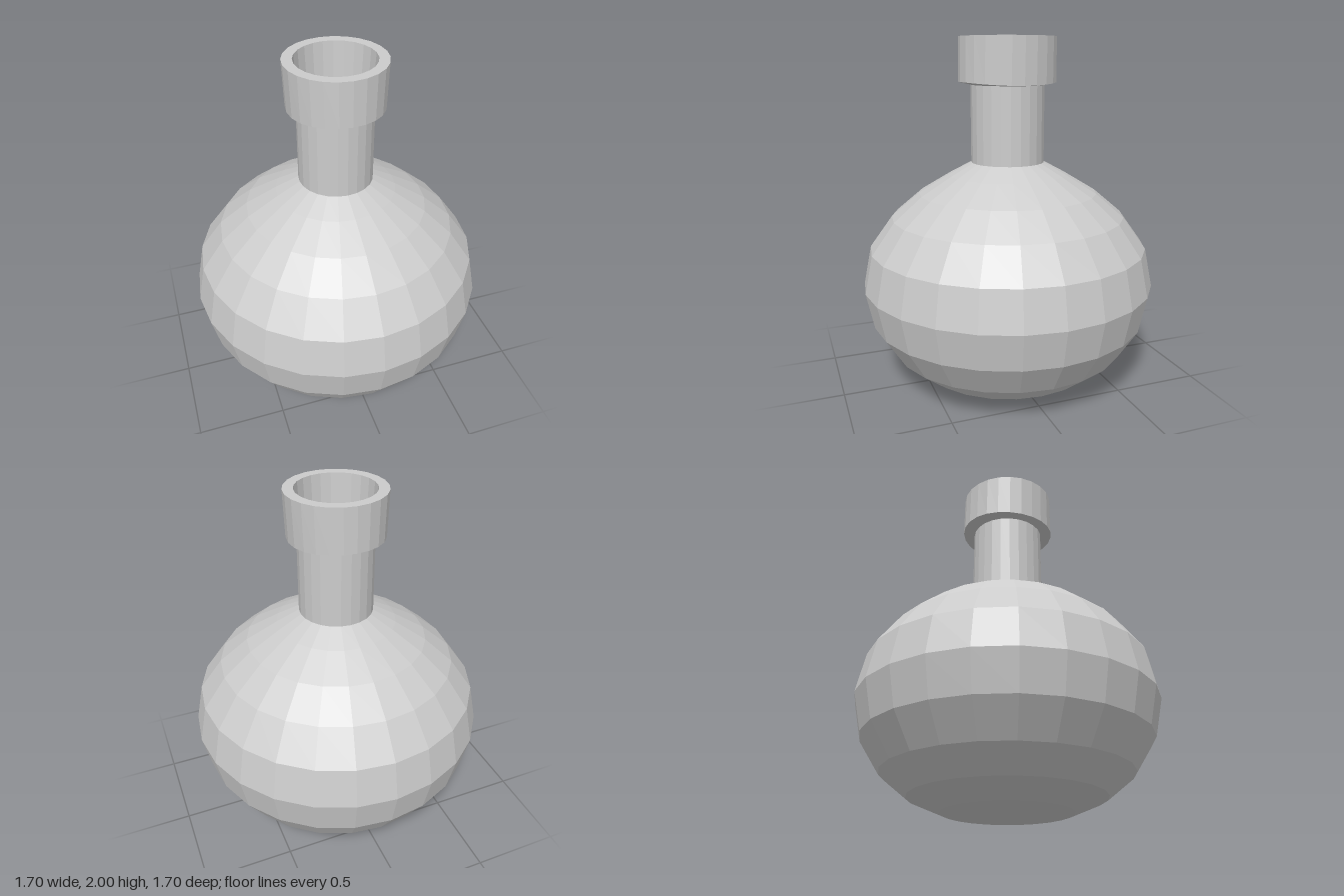
import * as THREE from 'three';

const SIDES = 24;

// Faceted surface of revolution; outer walls listed upward, inner walls downward
function turned(name, profile, color = 0xcccccc) {
  const geometry = new THREE.LatheGeometry(profile.map(([r, y]) => new THREE.Vector2(r, y)), SIDES);
  const mesh = new THREE.Mesh(geometry, new THREE.MeshStandardMaterial({ color, flatShading: true }));
  mesh.name = name;
  return mesh;
}

export function createModel() {
  const flask = new THREE.Group();
  flask.name = 'flask';

  // Squat round belly, from the flat foot up to the shoulder
  const belly = [[0.36, 0.005], [0.54, 0.08], [0.69, 0.2], [0.805, 0.38], [0.85, 0.59],
    [0.805, 0.81], [0.675, 0.99], [0.515, 1.125], [0.34, 1.23], [0.21, 1.3]];
  flask.add(turned('body', [[0, 0], [0.2, 0], ...belly]));

  // Inner wall of the belly, offset by the wall thickness
  const inner = belly.map(([r, y]) => [r - 0.02, y + (y < 0.59 ? 0.02 : -0.02)]);
  flask.add(turned('bodyInside', [...inner].reverse().concat([[0, 0.025]])));

  // Straight open neck
  flask.add(turned('neck', [[0.21, 1.3], [0.21, 1.76], [0.192, 1.76], [0.192, 1.27]]));

  // Flared lip with an inner ledge
  const lip = turned('lip', [[0.2, 1.735], [0.265, 1.74], [0.275, 2], [0.218, 2], [0.205, 1.77], [0.19, 1.77]]);
  const p = lip.geometry.attributes.position;
  for (let i = 0; i < p.count; i++) {
    // Lower outer edge is slightly wider and higher at front and back
    const x = p.getX(i), z = p.getZ(i), r = Math.hypot(x, z);
    if (r > 0.25 && p.getY(i) < 1.8) {
      const t = (z / r) ** 2;
      p.setXYZ(i, x, p.getY(i) + 0.015 * t, z * 1.05);
    }
  }
  flask.add(lip);

  // Green liquid resting inside the belly
  const liquid = inner.slice(0, 6).map(([r, y]) => [r - 0.005, y + 0.005]);
  flask.add(turned('liquid', [[0, 0.03], ...liquid, [0, liquid[5][1]]], 0x96d69c));

  return flask;
}
